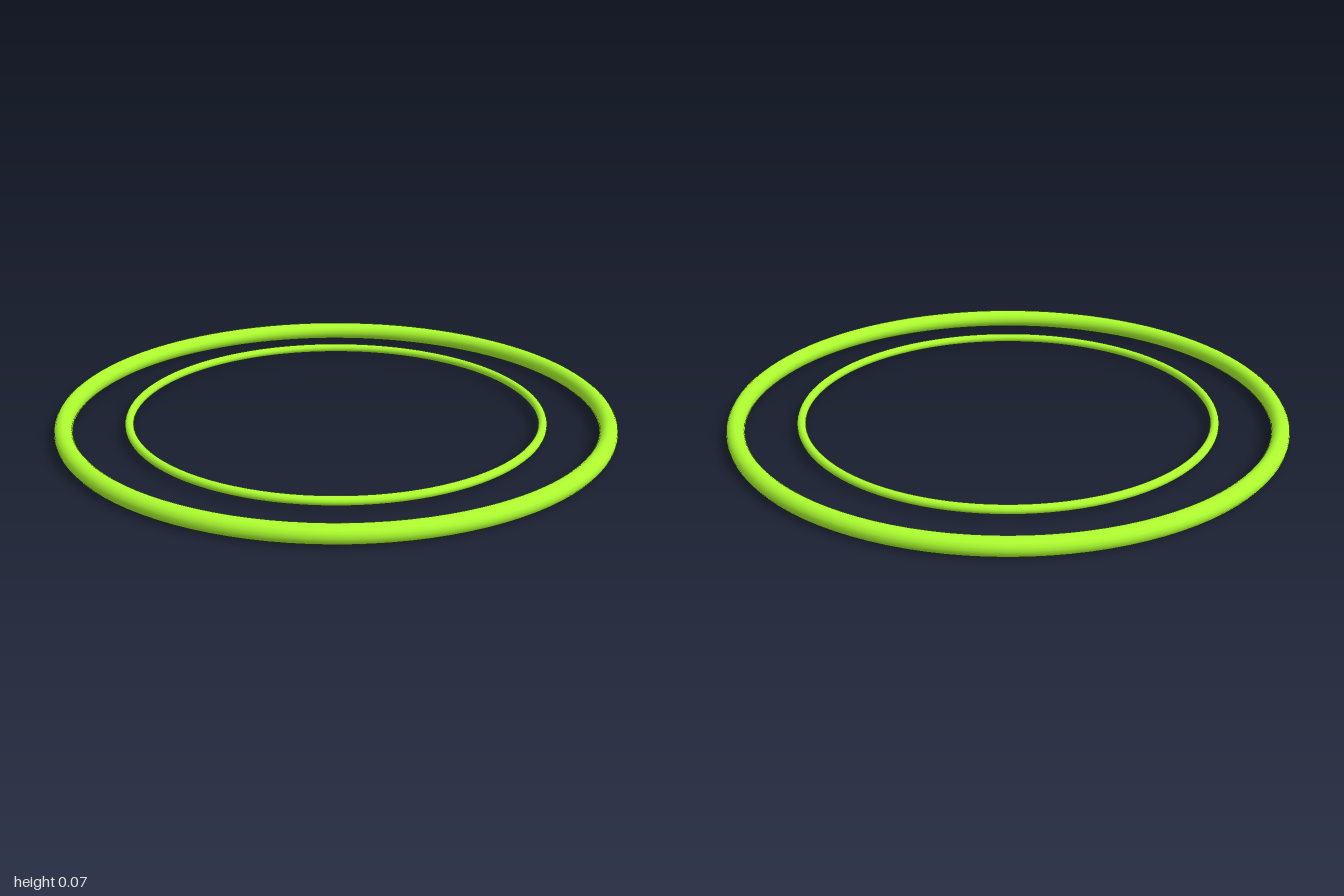
import * as THREE from 'three';

export function createModel() {
  const group = new THREE.Group();
  const material = new THREE.MeshStandardMaterial({ color: 0xadff2f });
  const tubeRadius = 0.033;

  // Flat-lying ring, centred at the height of the thicker tube
  const addRing = (name, radius, tube) => {
    const geometry = new THREE.TorusGeometry(radius, tube, 16, 100);
    geometry.rotateX(-Math.PI / 2);
    const ring = new THREE.Mesh(geometry, material);
    ring.name = name;
    ring.position.y = tubeRadius;
    group.add(ring);
  };

  addRing('outerRing', 1 - tubeRadius, tubeRadius);
  addRing('innerRing', 0.738, 0.016);

  return group;
}
